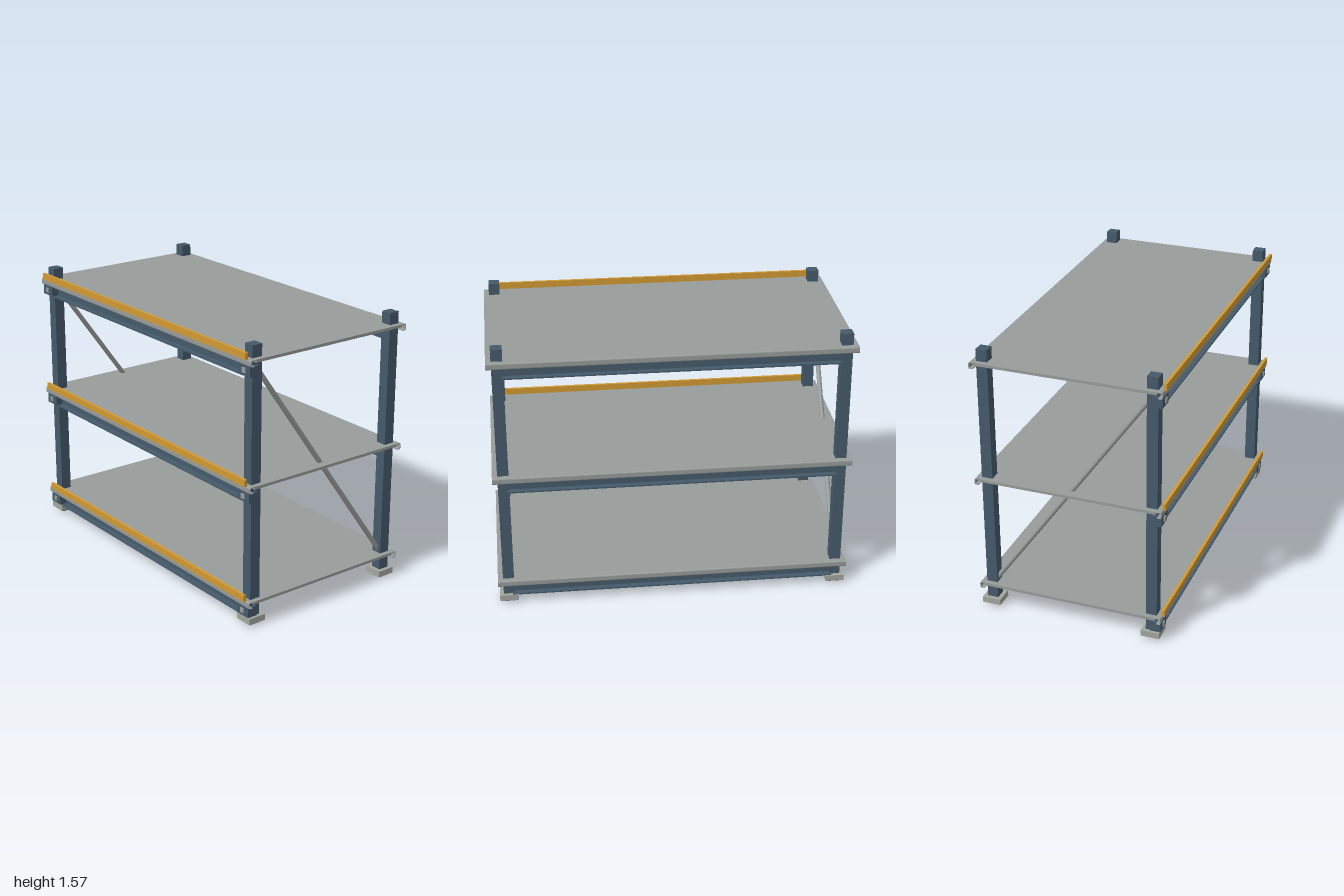
import * as THREE from 'three';

export function createModel() {
  const model = new THREE.Group();
  model.name = 'shelvingRack';

  const mat = (name, color, side = THREE.FrontSide) => {
    const m = new THREE.MeshStandardMaterial({ color, side });
    m.name = name;
    return m;
  };
  const blue = mat('blueSteel', 0x455a6b);
  const grey = mat('greySteel', 0x979c9a);
  const pale = mat('paleFoot', 0xa3a69f);
  const amber = mat('amberRail', 0xd29a32);

  const add = (parent, name, geometry, material) => {
    const mesh = new THREE.Mesh(geometry, material);
    mesh.name = name;
    parent.add(mesh);
    return mesh;
  };
  // Box given by its limits on each axis
  const box = (parent, name, material, [x0, x1], [y0, y1], [z0, z1]) => {
    const mesh = add(parent, name, new THREE.BoxGeometry(x1 - x0, y1 - y0, z1 - z0), material);
    mesh.position.set((x0 + x1) / 2, (y0 + y1) / 2, (z0 + z1) / 2);
    return mesh;
  };
  // Section drawn in (z, y), extruded along x and centred
  const extrudeX = (shape, length) => {
    const g = new THREE.ExtrudeGeometry(shape, { depth: length, bevelEnabled: false, curveSegments: 5 });
    return g.translate(0, 0, -length / 2).rotateY(-Math.PI / 2);
  };

  const zMid = -0.005;
  const postX = 0.94;
  const postZ = 0.47;
  const levels = [0.151, 0.811, 1.498];

  // Rolled deck edge: thin hollow lip, curling under
  const lip = new THREE.Shape();
  lip.moveTo(0.495, 0);
  lip.lineTo(0.522, 0);
  lip.quadraticCurveTo(0.532, 0, 0.532, -0.01);
  lip.lineTo(0.532, -0.028);
  lip.quadraticCurveTo(0.532, -0.037, 0.523, -0.037);
  lip.lineTo(0.508, -0.037);
  lip.lineTo(0.508, -0.033);
  lip.lineTo(0.522, -0.033);
  lip.quadraticCurveTo(0.528, -0.033, 0.528, -0.028);
  lip.lineTo(0.528, -0.01);
  lip.quadraticCurveTo(0.528, -0.004, 0.522, -0.004);
  lip.lineTo(0.495, -0.004);
  const lipGeometry = extrudeX(lip, 2);

  // Channel beam, open to the outside
  const channel = new THREE.Shape([
    [0.474, -0.102], [0.517, -0.102], [0.517, -0.094], [0.484, -0.094],
    [0.484, -0.046], [0.517, -0.046], [0.517, -0.038], [0.474, -0.038],
  ].map(([z, y]) => new THREE.Vector2(z, y)));
  const beamGeometry = extrudeX(channel, 1.84);

  // Shelves: deck, lips, beams, front rail, brackets and bolts
  levels.forEach((y) => {
    const shelf = new THREE.Group();
    shelf.name = 'shelf';
    shelf.position.y = y;
    model.add(shelf);
    box(shelf, 'deck', grey, [-1, 1], [-0.016, 0], [zMid - 0.5, zMid + 0.5]);
    for (const side of [1, -1]) {
      const edge = new THREE.Group();
      edge.name = side > 0 ? 'frontEdge' : 'backEdge';
      edge.position.z = zMid;
      edge.rotation.y = side > 0 ? 0 : Math.PI;
      shelf.add(edge);
      add(edge, 'deckLip', lipGeometry, grey);
      add(edge, 'beam', beamGeometry, blue);
    }
    box(shelf, 'frontRail', amber, [-0.967, 0.967], [-0.002, 0.036], [0.522, 0.538]);
    for (const s of [1, -1]) {
      const x = s * postX;
      box(shelf, 'beamBracket', blue, [x - 0.046, x + 0.046], [-0.094, -0.037], [0.465, 0.523]);
      box(shelf, 'bracketBolt', grey, [x - 0.013, x + 0.013], [-0.077, -0.05], [0.518, 0.53]);
    }
  });

  // Posts and feet
  for (const sx of [1, -1]) {
    for (const sz of [1, -1]) {
      const x = sx * postX;
      const z = zMid + sz * postZ;
      box(model, 'post', blue, [x - 0.031, x + 0.031], [0, 1.565], [z - 0.031, z + 0.031]);
      box(model, 'foot', pale, [x - 0.053, x + 0.053], [0.016, 0.051], [z - 0.053, z + 0.053]);
    }

    // Diagonal brace on each end, from front top to back bottom
    const top = new THREE.Vector3(sx * postX, 1.435, 0.448);
    const bottom = new THREE.Vector3(sx * postX, 0.16, -0.46);
    const run = top.clone().sub(bottom);
    const brace = add(model, 'diagonalBrace', new THREE.CylinderGeometry(0.014, 0.014, run.length(), 12), grey);
    brace.position.copy(top).add(bottom).multiplyScalar(0.5);
    brace.quaternion.setFromUnitVectors(new THREE.Vector3(0, 1, 0), run.normalize());
  }

  return model;
}
